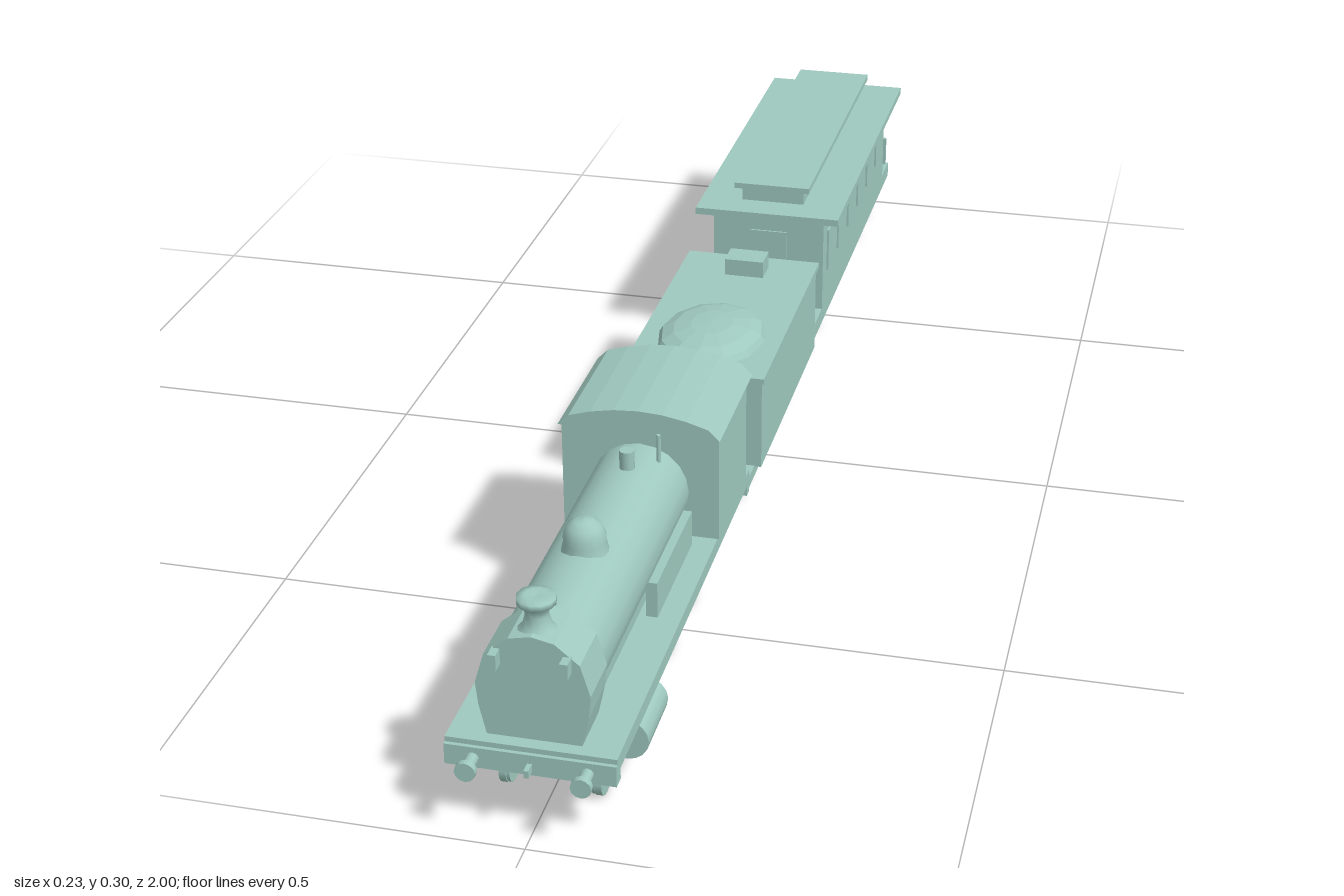
import * as THREE from 'three';

export function createModel() {
  const root = new THREE.Group();
  root.name = 'train';
  const mat = new THREE.MeshStandardMaterial({ color: 0x9fc9bf });
  mat.name = 'pale green';

  const add = (parent, name, geo, x = 0, y = 0, z = 0) => {
    const m = new THREE.Mesh(geo, mat);
    m.name = name;
    m.position.set(x, y, z);
    parent.add(m);
    return m;
  };
  // box from its half width and its y and z ranges
  const box = (p, name, hw, y0, y1, z0, z1, x = 0) =>
    add(p, name, new THREE.BoxGeometry(2 * hw, y1 - y0, z1 - z0), x, (y0 + y1) / 2, (z0 + z1) / 2);
  const cylZ = (r, len, n) => new THREE.CylinderGeometry(r, r, len, n).rotateX(Math.PI / 2);
  const cylX = (r, len, n) => new THREE.CylinderGeometry(r, r, len, n).rotateZ(Math.PI / 2);
  const cylY = (r, len, n) => new THREE.CylinderGeometry(r, r, len, n);
  const lathe = (pts, n) => new THREE.LatheGeometry(pts.map(p => new THREE.Vector2(...p)), n);
  // outline given for +x, mirrored and extruded along z
  const profile = (half, z0, z1) => {
    const left = half.filter(p => p[0] > 0).map(([x, y]) => [-x, y]).reverse();
    const s = new THREE.Shape([...half, ...left].map(p => new THREE.Vector2(...p)));
    const g = new THREE.ExtrudeGeometry(s, { depth: z1 - z0, bevelEnabled: false });
    return g.translate(0, 0, z0);
  };
  const group = name => {
    const g = new THREE.Group();
    g.name = name;
    root.add(g);
    return g;
  };
  // a pair of wheels on one axle
  const wheelset = (p, z, r, boxes) => {
    add(p, 'axle', cylX(0.006, 0.12, 8), 0, r, z);
    for (const s of [-1, 1]) {
      add(p, 'wheelRim', cylX(r, 0.009, 20), s * 0.06, r, z);
      add(p, 'wheelFlange', cylX(r * 0.96, 0.004, 20), s * 0.053, r, z);
      if (boxes) box(p, 'axleBox', 0.004, r - 0.009, r + 0.014, z - 0.009, z + 0.009, s * 0.067);
    }
  };

  // ---------- locomotive ----------
  const loco = group('locomotive');
  box(loco, 'footplate', 0.105, 0.1, 0.12, 0.26, 0.965);
  box(loco, 'frontBeam', 0.105, 0.085, 0.113, 0.952, 0.97);
  box(loco, 'rearBeam', 0.105, 0.085, 0.113, 0.258, 0.274);
  box(loco, 'underframe', 0.045, 0.082, 0.1, 0.28, 0.95);
  for (const s of [-1, 1]) {
    for (const [z, d] of [[0.965, 1], [0.265, -1]]) {
      add(loco, 'bufferStem', cylZ(0.008, 0.03, 10), s * 0.07, 0.098, z + d * 0.015);
      add(loco, 'bufferHead', cylZ(0.013, 0.008, 12), s * 0.07, 0.098, z + d * 0.031);
    }
    add(loco, 'steamCylinder', cylZ(0.028, 0.095, 16), s * 0.087, 0.074, 0.813);
    add(loco, 'pistonCap', cylZ(0.004, 0.012, 8), s * 0.093, 0.079, 0.863);
    box(loco, 'connectingRod', 0.003, 0.074, 0.082, 0.42, 0.77, s * 0.072);
    box(loco, 'sidePanel', 0.0075, 0.12, 0.17, 0.475, 0.66, s * 0.0675);
    box(loco, 'lamp', 0.005, 0.22, 0.241, 0.945, 0.964, s * 0.043);
  }
  box(loco, 'couplingHook', 0.003, 0.091, 0.101, 0.965, 0.985);

  // boiler, smokebox and fittings
  add(loco, 'boiler', cylZ(0.066, 0.45, 20), 0, 0.186, 0.67);
  box(loco, 'boilerSaddle', 0.05, 0.118, 0.15, 0.46, 0.89);
  add(loco, 'smokebox', profile([[0.058, 0.119], [0.067, 0.16], [0.07, 0.19], [0.058, 0.231],
    [0.028, 0.256], [0, 0.262]], 0.877, 0.948));
  const chimney = lathe([[0.026, 0], [0.018, 0.008], [0.014, 0.022], [0.016, 0.033],
    [0.024, 0.038], [0.024, 0.046], [0.014, 0.048], [0, 0.046]], 12);
  add(loco, 'chimney', chimney, 0, 0.255, 0.92);
  add(loco, 'steamDome', lathe([[0.03, 0], [0.027, 0.012], [0.027, 0.022], [0.022, 0.034],
    [0.012, 0.041], [0, 0.043]], 16), 0, 0.246, 0.72);
  add(loco, 'safetyValve', cylY(0.01, 0.03, 10), 0, 0.262, 0.52);
  add(loco, 'whistle', cylY(0.003, 0.04, 8), 0.032, 0.262, 0.48);

  // cab, open at the back
  box(loco, 'cabFront', 0.107, 0.12, 0.274, 0.445, 0.455);
  for (const s of [-1, 1]) box(loco, 'cabSide', 0.003, 0.12, 0.274, 0.29, 0.455, s * 0.104);
  add(loco, 'cabRoof', profile([[0.11, 0.272], [0.095, 0.287], [0.065, 0.296], [0.033, 0.302],
    [0, 0.304]], 0.265, 0.463));

  wheelset(loco, 0.87, 0.026, false);
  for (const z of [0.672, 0.55, 0.427]) wheelset(loco, z, 0.053, false);

  // ---------- tender ----------
  const tender = group('tender');
  box(tender, 'tenderFloor', 0.09, 0.05, 0.067, -0.25, 0.187);
  box(tender, 'tenderBody', 0.1, 0.066, 0.206, -0.245, 0.155);
  box(tender, 'tenderTop', 0.104, 0.203, 0.211, -0.25, 0.16);
  box(tender, 'waterHatch', 0.03, 0.21, 0.237, -0.217, -0.175);
  const heap = new THREE.SphereGeometry(1, 12, 4, 0, Math.PI * 2, 0, Math.PI / 2).toNonIndexed();
  heap.scale(0.08, 0.026, 0.105).computeVertexNormals();
  add(tender, 'coalHeap', heap, 0, 0.21, 0.04);

  // ---------- carriage ----------
  const car = group('carriage');
  box(car, 'carriageFloor', 0.09, 0.055, 0.08, -1, -0.293);
  box(car, 'carriageBody', 0.09, 0.08, 0.237, -0.935, -0.357);
  box(car, 'carriageRoof', 0.116, 0.235, 0.246, -0.953, -0.34);
  box(car, 'clerestory', 0.05, 0.245, 0.272, -0.9, -0.39);
  box(car, 'clerestoryRoof', 0.061, 0.27, 0.279, -0.918, -0.378);
  for (const s of [-1, 1])
    for (let i = 0; i < 6; i++) {
      const z = -0.42 - i * 0.09;
      box(car, 'window', 0.002, 0.135, 0.205, z - 0.03, z + 0.03, s * 0.091);
    }
  // end doors and balcony railings
  for (const [wall, edge] of [[-0.935, -0.994], [-0.357, -0.299]]) {
    box(car, 'endDoor', 0.03, 0.08, 0.21, wall - 0.003, wall + 0.003);
    for (const x of [-0.083, -0.03, 0.03, 0.083])
      box(car, 'railPost', 0.003, 0.08, 0.13, edge - 0.003, edge + 0.003, x);
    box(car, 'handrail', 0.086, 0.124, 0.13, edge - 0.003, edge + 0.003);
  }

  // wheels and bogie side frames of both wagons
  for (const [p, pairs, top] of [[tender, [[0.13, 0.065], [-0.12, -0.187]], 0.052],
    [car, [[-0.36, -0.455], [-0.835, -0.93]], 0.057]])
    for (const [a, b] of pairs) {
      wheelset(p, a, 0.027, true);
      wheelset(p, b, 0.027, true);
      for (const s of [-1, 1]) box(p, 'bogieFrame', 0.003, 0.034, 0.042, b, a, s * 0.067);
      box(p, 'bogiePivot', 0.02, 0.036, top, (a + b) / 2 - 0.015, (a + b) / 2 + 0.015);
    }
  return root;
}
